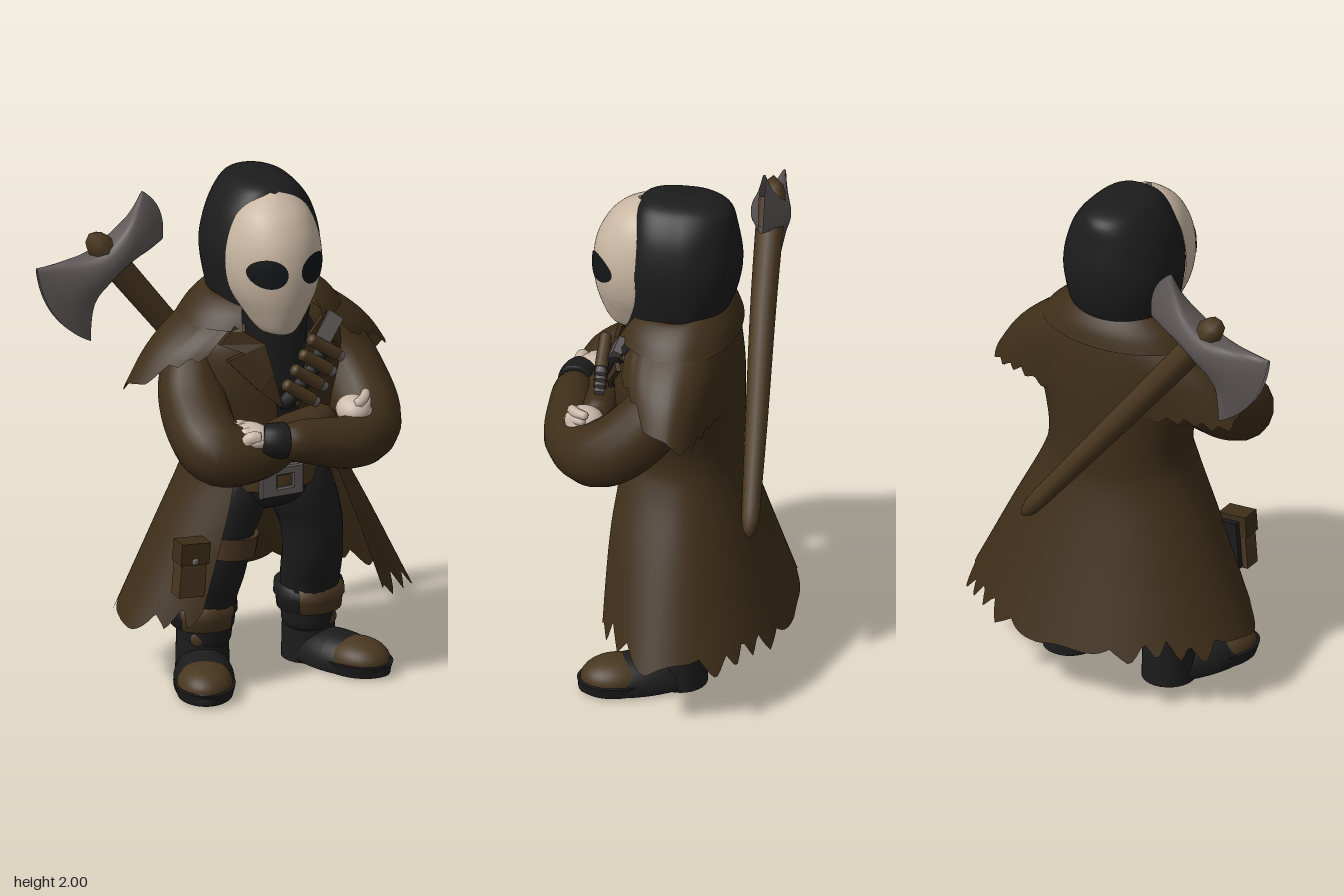
import * as THREE from 'three';
import { mergeVertices } from 'three/addons/utils/BufferGeometryUtils.js';

const C = 0.1; // x of the body's middle line
const V = (x, y, z) => new THREE.Vector3(x, y, z);
const mat = (name, color) => new THREE.MeshStandardMaterial({ name, color, side: THREE.DoubleSide });
const signedPow = (s, p) => Math.sign(s) * Math.abs(s) ** p;

// Smooth interpolation through rows of numbers, t from 0 to 1
function sample(rows, t) {
  const n = rows.length - 1, i = Math.min(Math.floor(t * n), n - 1), f = t * n - i;
  const row = k => rows[Math.max(0, Math.min(n, k))];
  return rows[i].map((_, k) => {
    const [a, b, c, d] = [-1, 0, 1, 2].map(o => row(i + o)[k]);
    return b + 0.5 * f * (c - a + f * (2 * a - 5 * b + 4 * c - d + f * (3 * (b - c) + d - a)));
  });
}

function smooth(geo) {
  geo.deleteAttribute('uv');
  geo.deleteAttribute('normal');
  const g = mergeVertices(geo, 1e-5);
  g.computeVertexNormals();
  return g;
}

// Surface from a rule fn(u, v) -> [x, y, z]
function grid(nu, nv, fn) {
  const pos = [], idx = [];
  for (let i = 0; i <= nv; i++) for (let j = 0; j <= nu; j++) pos.push(...fn(j / nu, i / nv));
  for (let i = 0; i < nv; i++) for (let j = 0; j < nu; j++) {
    const a = i * (nu + 1) + j, c = a + nu + 1;
    idx.push(a, a + 1, c, a + 1, c + 1, c);
  }
  const g = new THREE.BufferGeometry();
  g.setAttribute('position', new THREE.Float32BufferAttribute(pos, 3));
  g.setIndex(idx);
  return smooth(g);
}

// Rings from top to bottom: [y, half width, front z, back z, half opening angle (optional)]
// power below 1 squares the front half, trim(u, front) cuts the lower edge,
// drop lowers the front of the upper edge, lean shifts the hem in x
function loft(rows, { nu = 40, nv = 40, power = 1, trim = () => 0, drop = 0, lean = 0 } = {}) {
  const zc = -0.06;
  return grid(nu, nv, (u, v) => {
    const T = sample(rows, v)[4], t = T === undefined ? u * Math.PI * 2 : (u * 2 - 1) * T;
    const front = (1 - Math.cos(t)) / 2, cut = v * (1 - trim(u, front)), pw = front > 0.5 ? power : 1;
    const [y, a, zf, zb] = sample(rows, cut), c = signedPow(Math.cos(t), pw);
    return [C + a * signedPow(Math.sin(t), pw) + lean * cut ** 3, y - drop * front * (1 - v) ** 2,
      c > 0 ? zc + (zb - zc) * c : zc + (zc - zf) * c];
  });
}

// Round limb along a curve with changing radius and rounded ends
function limb(points, radii, seg = 36, sides = 16) {
  const curve = new THREE.CatmullRomCurve3(points.map(p => V(...p)));
  const g = new THREE.TubeGeometry(curve, seg, 1, sides), p = g.attributes.position, q = V();
  for (let i = 0; i <= seg; i++) {
    const u = i / seg, o = curve.getPointAt(u), e = Math.min(1, Math.min(u, 1 - u) / 0.08);
    const r = sample(radii.map(k => [k]), curve.getUtoTmapping(u))[0] * Math.sqrt(1 - (1 - e) ** 2);
    for (let j = 0; j <= sides; j++) {
      const k = i * (sides + 1) + j;
      q.fromBufferAttribute(p, k).sub(o).multiplyScalar(r).add(o);
      p.setXYZ(k, q.x, q.y, q.z);
    }
  }
  return smooth(g);
}

// Ragged cloth edge, 0 to 1
const ragged = (u, n) => {
  const k = u * n + 0.7 * Math.sin(u * 19), f = k - Math.floor(k);
  return 0.65 * Math.abs(f * 2 - 1) + 0.175 * (1 + Math.sin(u * 41));
};

export function createModel() {
  const root = new THREE.Group();
  const coat = mat('coat brown', 0x3e2e19), leather = mat('leather brown', 0x493720);
  const dark = mat('dark cloth', 0x1c1c1d), black = mat('eye black', 0x131517);
  const steel = mat('steel grey', 0x5f5858), bone = mat('mask bone', 0xc8b6a2), skin = mat('pale skin', 0xccb9aa);
  const add = (name, geo, m, parent = root, at = [0, 0, 0]) => {
    const mesh = new THREE.Mesh(geo, m);
    mesh.name = name;
    mesh.position.set(...at);
    parent.add(mesh);
    return mesh;
  };
  const ball = (name, m, r, at, parent = root) => {
    const s = add(name, new THREE.SphereGeometry(1, 24, 16), m, parent, at);
    s.scale.set(...r);
    return s;
  };

  // Hood and mask
  add('hood', loft([[2.0, 0, 0.02, -0.08], [1.988, 0.08, 0.08, -0.165], [1.955, 0.132, 0.125, -0.228], [1.87, 0.188, 0.15, -0.25],
    [1.74, 0.22, 0.165, -0.268], [1.62, 0.21, 0.16, -0.25], [1.5, 0.182, 0.16, -0.2], [1.4, 0.15, 0.18, -0.15],
    [1.2, 0.13, 0.195, -0.1]], { power: 0.7, nu: 56 }), dark);
  const mx = 0.09, mz = 0.085;
  const maskRows = [[1.968, 0.02, 0.13], [1.945, 0.085, 0.175], [1.89, 0.142, 0.238], [1.8, 0.178, 0.285], [1.7, 0.188, 0.3],
    [1.6, 0.17, 0.293], [1.51, 0.128, 0.268], [1.445, 0.09, 0.238], [1.428, 0.06, 0.21], [1.426, 0.01, 0.12]];
  add('mask', grid(32, 44, (u, v) => {
    const [y, w, zf] = sample(maskRows, v), a = Math.PI * (0.5 - u);
    return [mx + w * Math.sin(a), y, mz + (zf - mz) * Math.cos(a)];
  }), bone);
  const maskZ = (x, y) => {
    let lo = 0, hi = 1;
    for (let k = 0; k < 30; k++) { const m = (lo + hi) / 2; if (sample(maskRows, m)[0] > y) lo = m; else hi = m; }
    const [, w, zf] = sample(maskRows, lo);
    return mz + (zf - mz) * Math.sqrt(Math.max(0, 1 - ((x - mx) / w) ** 2));
  };
  for (const s of [-1, 1]) {
    const g = new THREE.RingGeometry(0.001, 1, 28, 6).scale(0.066, 0.058, 1).rotateZ(s * 0.15).translate(mx + s * 0.093, 1.703, 0);
    const p = g.attributes.position;
    for (let i = 0; i < p.count; i++) p.setZ(i, maskZ(p.getX(i), p.getY(i)) + 0.005);
    add('eyeHole', smooth(g), black);
  }

  // Body under the coat
  add('torso', loft([[1.46, 0.15, 0.12, -0.15], [1.3, 0.28, 0.185, -0.22], [1.1, 0.26, 0.175, -0.22], [0.92, 0.2, 0.17, -0.2],
    [0.78, 0.225, 0.175, -0.18], [0.71, 0.19, 0.13, -0.14], [0.65, 0.02, 0, -0.08]]), dark);
  add('belt', loft([[0.87, 0.2, 0.16, -0.2], [0.87, 0.228, 0.183, -0.21], [0.79, 0.236, 0.187, -0.2], [0.79, 0.2, 0.16, -0.18]]), leather);
  const frame = new THREE.Shape([[-0.085, -0.055], [0.08, -0.055], [0.08, 0.055], [-0.085, 0.055]].map(p => new THREE.Vector2(...p)));
  frame.holes.push(new THREE.Path([[-0.03, -0.03], [-0.03, 0.03], [0.045, 0.03], [0.045, -0.03]].map(p => new THREE.Vector2(...p))));
  add('buckle', new THREE.ExtrudeGeometry(frame, { depth: 0.02, bevelSize: 0.006, bevelThickness: 0.006, bevelSegments: 1 }), steel, root, [0.09, 0.83, 0.174]);

  // Long coat with ragged hem
  add('coat', loft([[1.56, 0.2, 0.13, -0.2, 2.5], [1.5, 0.27, 0.17, -0.23, 2.6], [1.4, 0.33, 0.2, -0.255, 2.75], [1.25, 0.34, 0.215, -0.272, 2.9],
    [1.1, 0.3, 0.21, -0.275, 3.0], [0.97, 0.28, 0.215, -0.28, 2.75], [0.85, 0.31, 0.25, -0.29, 2.42],
    [0.6, 0.43, 0.28, -0.365, 2.4], [0.22, 0.61, 0.29, -0.49, 2.4]],
  { nu: 150, nv: 48, drop: 0.1, lean: 0.03, trim: (u, front) => 0.04 * ragged(u, 15) + 0.02 * front }), coat);
  add('shoulderCape', loft([[1.56, 0.19, 0.11, -0.19, 2.4], [1.51, 0.27, 0.16, -0.222, 2.45], [1.42, 0.38, 0.2, -0.245, 2.5],
    [1.32, 0.47, 0.22, -0.248, 2.45], [1.17, 0.56, 0.23, -0.235, 2.4]],
  { nu: 130, nv: 24, drop: 0.08, trim: (u, front) => 0.09 * ragged(u, 17) + 0.65 * Math.max(0, front - 0.45) }), coat);
  add('collar', loft([[1.53, 0.17, 0.11, -0.17, 2.45], [1.575, 0.195, 0.12, -0.195, 2.45], [1.565, 0.22, 0.14, -0.215, 2.5],
    [1.51, 0.28, 0.185, -0.25, 2.55], [1.45, 0.325, 0.215, -0.268, 2.6]], { nu: 60, nv: 20, drop: 0.1 }), coat);
  const lapel = [[-0.19, 1.47], [-0.09, 1.4], [-0.07, 1.3], [-0.03, 1.14], [-0.12, 1.22], [-0.23, 1.34], [-0.17, 1.37], [-0.25, 1.4]];
  for (const s of [-1, 1]) {
    const g = new THREE.ExtrudeGeometry(new THREE.Shape(lapel.map(([x, y]) => new THREE.Vector2(C - s * x, y))), { depth: 0.018, bevelEnabled: false });
    const p = g.attributes.position;
    for (let i = 0; i < p.count; i++) {
      const front = Math.min(0.215, 0.14 + (1.54 - p.getY(i)) * 0.35), k = (p.getX(i) - C) / 0.36;
      p.setZ(i, p.getZ(i) - 0.06 + (front + 0.06) * Math.sqrt(1 - k * k) + 0.008);
    }
    g.computeVertexNormals();
    add('lapel', g, coat);
  }

  // Crossed arms, the left one in front
  add('leftSleeve', limb([[0.35, 1.4, -0.06], [0.43, 1.18, 0.04], [0.43, 1.03, 0.22], [0.31, 1.01, 0.345], [0.1, 1.055, 0.38], [-0.03, 1.08, 0.39]],
    [0.1, 0.13, 0.128, 0.105, 0.085, 0.066], 48), coat);
  add('rightSleeve', limb([[-0.15, 1.4, -0.06], [-0.22, 1.18, 0.05], [-0.22, 1.03, 0.27], [-0.08, 1.01, 0.31], [0.1, 1.05, 0.27], [0.28, 1.1, 0.26]],
    [0.1, 0.128, 0.13, 0.105, 0.08, 0.062], 48), coat);
  add('leftCuff', limb([[0.015, 1.075, 0.385], [-0.03, 1.08, 0.38], [-0.075, 1.085, 0.36]], [0.07, 0.068, 0.06], 20), dark);
  ball('leftHand', skin, [0.068, 0.045, 0.1], [-0.095, 1.088, 0.315]);
  ball('rightHand', skin, [0.065, 0.055, 0.075], [0.335, 1.115, 0.295]);
  for (let i = 0; i < 4; i++) {
    const z = 0.39 - i * 0.045, k = i * 0.027;
    add('leftFinger', limb([[-0.09, 1.1, z], [-0.135, 1.105, z - 0.01], [-0.155, 1.07, z - 0.02]], [0.026, 0.025, 0.02], 10, 8), skin);
    add('rightFinger', limb([[0.32, 1.07 + k, 0.35], [0.365, 1.08 + k, 0.35 - i * 0.01], [0.4, 1.09 + k, 0.3 - i * 0.01]], [0.02, 0.02, 0.016], 10, 8), skin);
  }

  // Legs and boots
  for (const s of [-1, 1]) {
    const side = s < 0 ? 'right' : 'left';
    add(side + 'Leg', limb([[C + s * 0.1, 0.87, 0], [C + s * 0.135, 0.75, 0.02], [C + s * 0.182, 0.61, 0.025], [C + s * 0.2, 0.47, 0.01],
      [C + s * 0.212, 0.34, -0.04], [C + s * 0.215, 0.1, -0.07]], [0.1, 0.128, 0.12, 0.115, 0.113, 0.1], 40, 20), dark);
    const boot = new THREE.Group();
    boot.name = side + 'Boot';
    boot.position.set(C + s * 0.22, 0, -0.07);
    boot.rotation.y = s * 0.4;
    root.add(boot);
    const cuff = [[0.1, 0.2], [0.12, 0.205], [0.125, 0.25], [0.133, 0.26], [0.13, 0.305], [0.1, 0.31]];
    const turn = (grow, ...arc) => new THREE.LatheGeometry(cuff.map(([r, y]) => new THREE.Vector2(r + grow, y)), 32, ...arc);
    add('bootCuff', turn(0), dark, boot);
    add('cuffPatch', turn(0.005, -0.9 - s * 0.2, 1.7), leather, boot);
    add('cuffPatch', turn(0.005, s * 1.9 - 0.35, 0.7), leather, boot);
    add('bootShaft', new THREE.CylinderGeometry(0.098, 0.103, 0.22, 28), dark, boot, [0, 0.112, 0]);
    const foot = new THREE.SphereGeometry(1, 32, 20).scale(0.116, 0.105, 0.24), p = foot.attributes.position;
    for (let i = 0; i < p.count; i++) p.setY(i, Math.max(p.getY(i), -0.02));
    foot.computeVertexNormals();
    add('bootFoot', foot, dark, boot, [0, 0.03, 0.155]);
    add('sole', new THREE.CylinderGeometry(1, 0.9, 0.045, 32).scale(0.116, 1, 0.158), dark, boot, [0, 0.0325, 0.24]);
    add('toeCap', new THREE.SphereGeometry(1, 28, 10, 0, Math.PI * 2, 0, Math.PI / 2).scale(0.106, 0.075, 0.135), leather, boot, [0, 0.058, 0.25]);
    ball('anklePatch', leather, [0.03, 0.03, 0.012], [s * 0.02, 0.17, 0.095], boot);
  }

  // Thigh strap and pouch on the right leg
  const strap = add('thighStrap', new THREE.CylinderGeometry(0.131, 0.126, 0.085, 28), leather, root, [-0.077, 0.56, 0.022]);
  strap.rotation.z = -0.12;
  const pouch = new THREE.Group();
  pouch.name = 'pouch';
  pouch.position.set(-0.283, 0.53, 0.165);
  pouch.rotation.z = -0.08;
  root.add(pouch);
  add('pouchBody', new THREE.BoxGeometry(0.105, 0.21, 0.07), leather, pouch);
  add('pouchFlap', new THREE.BoxGeometry(0.118, 0.085, 0.08), coat, pouch, [0, 0.07, 0.003]);
  add('pouchBacking', new THREE.BoxGeometry(0.09, 0.19, 0.03), dark, pouch, [0.015, -0.005, -0.045]);
  ball('pouchButton', steel, [0.014, 0.014, 0.01], [0, 0.04, 0.044], pouch);

  // Bandolier with cartridges across the chest
  add('bandolier', limb([[0.07, 1.13, 0.215], [0.2, 1.28, 0.225], [0.33, 1.45, 0.12]], [0.03, 0.032, 0.03], 20, 10), dark);
  const clip = add('bandolierClip', new THREE.BoxGeometry(0.065, 0.13, 0.035), steel, root, [0.28, 1.405, 0.178]);
  clip.rotation.set(-0.4, 0, -0.7);
  for (let i = 0; i < 4; i++) {
    const c = new THREE.Group();
    c.name = 'cartridge';
    c.position.set(0.135 + i * 0.038, 1.2 + i * 0.052, 0.262 - i * 0.008);
    c.rotation.z = 0.95;
    root.add(c);
    add('case', new THREE.CylinderGeometry(0.024, 0.026, 0.13, 14), leather, c, [0, 0.01, 0]);
    add('base', new THREE.CylinderGeometry(0.02, 0.02, 0.025, 14), steel, c, [0, -0.067, 0]);
    ball('tip', leather, [0.024, 0.018, 0.024], [0, 0.074, 0], c);
  }

  // Axe carried on the back: rows run from the large edge to the small one
  // [upper x, upper y, lower x, lower y, outward bow, half thickness]
  const axe = new THREE.Group();
  axe.name = 'axe';
  root.add(axe);
  add('axeHandle', limb([[-0.49, 1.755, -0.285], [-0.2, 1.385, -0.297], [0.08, 1.03, -0.318], [0.365, 0.67, -0.338]], [0.055, 0.05, 0.043, 0.034], 40, 8), leather, axe);
  const headRows = [[-0.707, 1.65, -0.48, 1.32, 0.055, 0.012], [-0.58, 1.657, -0.472, 1.47, 0.03, 0.045], [-0.465, 1.675, -0.405, 1.565, 0, 0.072],
    [-0.37, 1.74, -0.33, 1.62, 0, 0.066], [-0.31, 1.81, -0.25, 1.65, -0.01, 0.038], [-0.27, 1.89, -0.185, 1.68, -0.035, 0.01]];
  add('axeHead', grid(28, 30, (u, v) => {
    const [tx, ty, bx, by, bow, thick] = sample(headRows, v), k = (1 - Math.cos(u * Math.PI * 2)) / 2, out = bow * 4 * k * (1 - k);
    return [tx + (bx - tx) * k - 0.79 * out, ty + (by - ty) * k - 0.615 * out, -0.288 + thick * signedPow(Math.sin(u * Math.PI * 2), 0.5)];
  }), steel, axe);

  return root;
}
